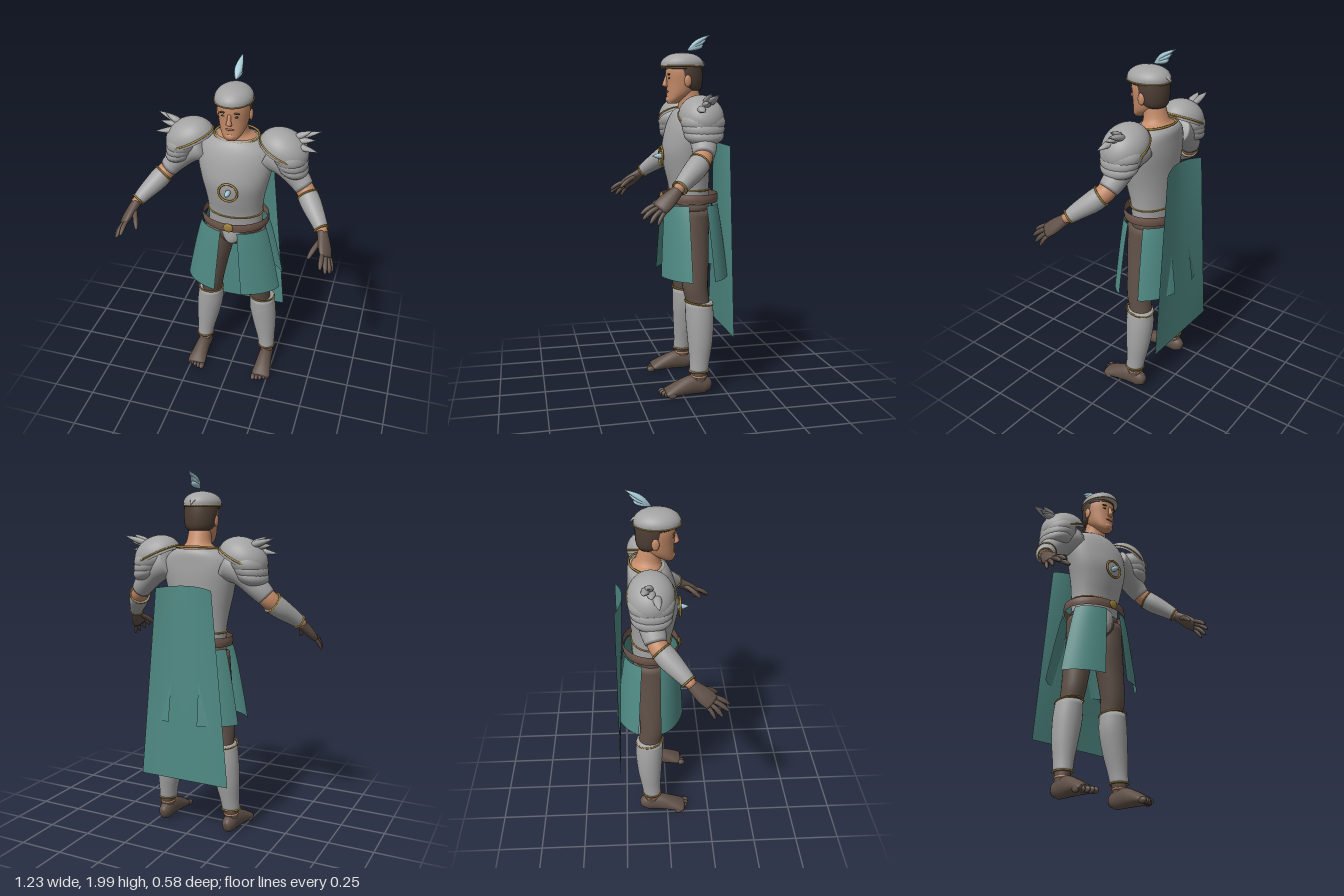
import * as THREE from 'three';
import { mergeVertices } from 'three/addons/utils/BufferGeometryUtils.js';

const V = (x, y, z) => new THREE.Vector3(x, y, z);
const lerp = THREE.MathUtils.lerp;

// Smooth grid surface: fn(u, r) with u across and r down
function sheet(nu, nr, fn) {
  const g = new THREE.PlaneGeometry(1, 1, nu, nr);
  const p = g.attributes.position;
  for (let j = 0, k = 0; j <= nr; j++)
    for (let i = 0; i <= nu; i++, k++) p.setXYZ(k, ...fn(i / nu, j / nr).toArray());
  g.deleteAttribute('uv');
  g.deleteAttribute('normal');
  const m = mergeVertices(g, 1e-5);
  m.computeVertexNormals();
  return m;
}

// Elliptical loft through rows [x, y, z, ru, rv]; level rings unless ref (direction of ru) is given
function loft(rows, { ref = null, seg = 28, sub = 4, caps = true } = {}) {
  const curve = f => new THREE.CatmullRomCurve3(rows.map(f), false, 'catmullrom');
  const path = curve(r => V(r[0], r[1], r[2]));
  const radii = curve(r => V(r[3], r[4], 0));
  const n = (rows.length - 1) * sub, extra = caps ? 1 : 0, total = n + 2 * extra;
  const up = Math.sign(rows.at(-1)[1] - rows[0][1]);
  return sheet(seg, total, (u, r) => {
    const k = Math.round(r * total) - extra;
    const t = Math.min(1, Math.max(0, k / n));
    const s = k < 0 || k > n ? 0 : 1;
    const c = path.getPoint(t), q = radii.getPoint(t);
    const d = ref ? path.getTangent(t) : V(0, up, 0);
    const a = ref ? ref.clone().addScaledVector(d, -ref.dot(d)).normalize() : V(1, 0, 0);
    const b = d.clone().cross(a), th = -u * Math.PI * 2;
    return c.addScaledVector(a, s * Math.max(q.x, 0) * Math.cos(th))
      .addScaledVector(b, s * Math.max(q.y, 0) * Math.sin(th));
  });
}

// Thin closed ring around an ellipse spanned by vectors a and b
function trim(c, a, b, r = 0.005) {
  const pts = Array.from({ length: 24 }, (_, i) => {
    const t = i / 24 * Math.PI * 2;
    return c.clone().addScaledVector(a, Math.cos(t)).addScaledVector(b, Math.sin(t));
  });
  return new THREE.TubeGeometry(new THREE.CatmullRomCurve3(pts, true), 48, r, 6, true);
}
const levelTrim = (x, y, z, rx, rz, r) => trim(V(x, y, z), V(rx, 0, 0), V(0, 0, rz), r);

function blob(x, y, z, rx, ry, rz, rot = 0) {
  return new THREE.SphereGeometry(1, 24, 16).scale(rx, ry, rz).rotateZ(rot).translate(x, y, z);
}

function mirror(geo) {
  const g = geo.clone().scale(-1, 1, 1), ix = g.index.array;
  for (let i = 0; i < ix.length; i += 3) [ix[i], ix[i + 1]] = [ix[i + 1], ix[i]];
  g.computeVertexNormals();
  return g;
}

export function createModel() {
  const model = new THREE.Group();
  model.name = 'armouredGuard';
  const mat = (name, color) => Object.assign(new THREE.MeshStandardMaterial({ color }), { name });
  const steel = mat('steel', 0xa3a3a3), cloth = mat('teal cloth', 0x4f8983), leather = mat('dark leather', 0x5f5047);
  const belt = mat('belt leather', 0x6d564b), gold = mat('gold', 0x9b7c38), skin = mat('skin', 0xc48b68);
  const hair = mat('hair', 0x4c3d33), crystal = mat('pale blue', 0xa6cbd8), lips = mat('lips', 0x9c6250);
  cloth.side = belt.side = THREE.DoubleSide;
  const add = (name, geo, m) => {
    const mesh = new THREE.Mesh(geo, m);
    mesh.name = name;
    model.add(mesh);
  };
  const pair = (name, geo, m) => {
    add(name + 'Left', geo, m);
    add(name + 'Right', mirror(geo), m);
  };
  const X = V(1, 0, 0), Z = V(0, 0, 1);

  // Head and neck
  add('head', loft([[0, 1.615, 0.015, 0.03, 0.025], [0, 1.635, 0, 0.05, 0.045], [0, 1.67, -0.03, 0.07, 0.074],
    [0, 1.72, -0.045, 0.081, 0.09], [0, 1.78, -0.045, 0.086, 0.095], [0, 1.83, -0.045, 0.08, 0.09]]), skin);
  add('neck', loft([[0, 1.55, -0.1, 0.15, 0.085], [0, 1.59, -0.1, 0.11, 0.08], [0, 1.62, -0.09, 0.07, 0.068],
    [0, 1.7, -0.07, 0.06, 0.06]]), skin);
  add('hair', loft([[0, 1.685, -0.09, 0.06, 0.05], [0, 1.71, -0.075, 0.082, 0.078], [0, 1.77, -0.067, 0.091, 0.09],
    [0, 1.84, -0.06, 0.088, 0.09]]), hair);
  add('fringe', loft([[0, 1.8, -0.045, 0.089, 0.096], [0, 1.84, -0.045, 0.086, 0.096]]), hair);
  add('nose', loft([[0, 1.765, 0.044, 0.009, 0.01], [0, 1.735, 0.053, 0.011, 0.012], [0, 1.715, 0.055, 0.016, 0.015],
    [0, 1.704, 0.046, 0.012, 0.01]], { seg: 12 }), skin);
  add('mouth', blob(0, 1.68, 0.041, 0.024, 0.006, 0.008), lips);
  add('chin', blob(0, 1.638, 0.03, 0.028, 0.022, 0.02), skin);
  pair('ear', blob(0.088, 1.735, -0.055, 0.01, 0.032, 0.02), skin);
  pair('eye', blob(0.032, 1.752, 0.038, 0.014, 0.005, 0.005), hair);
  pair('brow', blob(0.034, 1.772, 0.04, 0.021, 0.005, 0.007, -0.1), hair);

  // Helmet with plume
  add('helmet', loft([[0, 1.812, -0.042, 0.1, 0.122], [0, 1.84, -0.043, 0.098, 0.119], [0, 1.866, -0.044, 0.08, 0.098],
    [0, 1.884, -0.045, 0.048, 0.062], [0, 1.892, -0.045, 0.008, 0.01]]), steel);
  add('helmetTrim', levelTrim(0, 1.815, -0.042, 0.1, 0.122, 0.004), gold);
  add('helmetTip', loft([[0, 1.845, -0.13, 0.03, 0.01], [0, 1.842, -0.16, 0.015, 0.006], [0, 1.822, -0.178, 0.003, 0.003]],
    { ref: X, seg: 10 }), steel);
  for (let i = 0; i < 3; i++) {
    const y = 1.99 - 0.025 * i, z = -0.2 + 0.02 * i;
    add('plumeFeather', loft([[0, 1.905, -0.075, 0.004, 0.004], [0, lerp(1.905, y, 0.35), -0.11, 0.02, 0.014],
      [0, lerp(1.905, y, 0.65), -0.145, 0.018, 0.013], [0, y, z, 0.003, 0.002]], { ref: X, seg: 10 }), crystal);
  }

  // Breastplate, collar and chest emblem
  add('breastplate', loft([[0, 1.035, -0.085, 0.155, 0.105], [0, 1.15, -0.08, 0.156, 0.112], [0, 1.25, -0.07, 0.168, 0.125],
    [0, 1.35, -0.065, 0.19, 0.135], [0, 1.45, -0.075, 0.208, 0.13], [0, 1.52, -0.085, 0.2, 0.119],
    [0, 1.565, -0.095, 0.165, 0.107], [0, 1.59, -0.1, 0.12, 0.09]], { seg: 40 }), steel);
  add('collarTrim', trim(V(0, 1.592, -0.1), V(0.122, 0, 0), V(0, -0.012, 0.092), 0.006), gold);
  add('waistTrim', levelTrim(0, 1.14, -0.081, 0.158, 0.114), gold);
  add('emblemRing', new THREE.TorusGeometry(0.052, 0.006, 8, 40).translate(0, 1.325, 0.078), gold);
  add('emblemGem', loft([[0, 1.325, 0.07, 0.014, 0.014], [0, 1.325, 0.095, 0.015, 0.015], [0, 1.325, 0.125, 0.002, 0.002]],
    { ref: X, seg: 8, sub: 2 }), crystal);

  // Belt, buckle and hips
  add('belt', loft([[0, 1.07, -0.085, 0.19, 0.157], [0, 1.095, -0.085, 0.193, 0.16], [0, 1.12, -0.085, 0.188, 0.157]],
    { caps: false, seg: 40 }), belt);
  add('buckle', blob(0, 1.097, 0.075, 0.028, 0.028, 0.01), gold);
  add('hips', loft([[0, 0.93, -0.085, 0.07, 0.07], [0, 0.98, -0.085, 0.15, 0.1], [0, 1.06, -0.085, 0.16, 0.108]]), leather);
  add('codpiece', loft([[0, 0.945, -0.02, 0.02, 0.03], [0, 0.975, -0.01, 0.045, 0.045], [0, 1.03, -0.02, 0.065, 0.055],
    [0, 1.08, -0.03, 0.08, 0.055]]), steel);

  // Skirt panels: angle 0 points to the side, 90 degrees to the front
  const panel = (from, toTop, toBottom) => sheet(16, 10, (u, r) => {
    const a = lerp(from, lerp(toTop, toBottom, r), u);
    const flare = Math.pow(r, 0.85);
    return V(lerp(0.197, 0.292, flare) * Math.cos(a), lerp(1.06, 0.655, r),
      lerp(-0.085, -0.098, r) + lerp(0.157, 0.2, flare) * Math.sin(a));
  });
  pair('frontSkirt', panel(0.29, 1.33, 1.29), cloth);
  pair('backSkirt', panel(-0.34, -1.2, -1.27), cloth);

  // Cape
  add('cape', sheet(16, 20, (u, r) => {
    const a = u * 2 - 1;
    return V(a * lerp(0.165, 0.265, r), lerp(1.4, 0.33, r) - 0.015 * a * a * (1 - r),
      lerp(-0.235, -0.278, r) - 0.04 * a * a * (1 - r));
  }), cloth);

  // Legs, greaves and feet
  pair('leg', loft([[0.09, 1.03, -0.085, 0.085, 0.1], [0.1, 0.9, -0.08, 0.085, 0.092], [0.125, 0.75, -0.083, 0.076, 0.082],
    [0.147, 0.6, -0.085, 0.067, 0.071], [0.155, 0.5, -0.1, 0.06, 0.065], [0.18, 0.3, -0.105, 0.055, 0.055],
    [0.205, 0.12, -0.095, 0.039, 0.043], [0.206, 0.06, -0.095, 0.038, 0.042]]), leather);
  pair('greave', loft([[0.163, 0.52, -0.102, 0.073, 0.077], [0.17, 0.42, -0.106, 0.08, 0.079], [0.185, 0.3, -0.105, 0.07, 0.07],
    [0.197, 0.2, -0.099, 0.055, 0.058], [0.204, 0.135, -0.093, 0.05, 0.053]]), steel);
  pair('greaveTopTrim', trim(V(0.163, 0.518, -0.102), V(0.074, 0, 0), V(0, 0.012, 0.078)), gold);
  pair('greaveBottomTrim', levelTrim(0.204, 0.136, -0.093, 0.051, 0.054), gold);
  pair('ankleBand', levelTrim(0.205, 0.107, -0.094, 0.037, 0.041, 0.006), skin);
  pair('foot', loft([[0.205, 0.04, -0.162, 0.02, 0.025], [0.205, 0.05, -0.13, 0.038, 0.048], [0.207, 0.057, -0.06, 0.042, 0.056],
    [0.21, 0.042, 0.02, 0.05, 0.042], [0.212, 0.028, 0.075, 0.057, 0.028], [0.212, 0.022, 0.1, 0.052, 0.02]], { ref: X }), leather);
  for (let i = 0; i < 5; i++)
    pair('toe', blob(0.17 + i * 0.022, 0.019, 0.108 - i * i * 0.0025, i ? 0.012 : 0.016, 0.018, 0.025), leather);

  // Arms with vambraces
  pair('upperArm', loft([[0.17, 1.51, -0.09, 0.09, 0.085], [0.26, 1.47, -0.088, 0.08, 0.075], [0.34, 1.395, -0.08, 0.067, 0.062],
    [0.385, 1.345, -0.065, 0.056, 0.054]], { ref: Z }), steel);
  pair('elbow', loft([[0.36, 1.37, -0.072, 0.05, 0.05], [0.4, 1.325, -0.052, 0.051, 0.05], [0.44, 1.285, -0.01, 0.045, 0.045]],
    { ref: Z }), skin);
  pair('vambrace', loft([[0.408, 1.315, -0.042, 0.056, 0.056], [0.44, 1.28, -0.005, 0.057, 0.055],
    [0.485, 1.235, 0.05, 0.047, 0.045], [0.517, 1.2, 0.09, 0.038, 0.036]], { ref: Z }), steel);
  const along = V(0.55, -0.56, 0.62).normalize(), across = V(0.7, 0, -0.62).normalize();
  const over = along.clone().cross(across);
  const cuff = (x, y, z, r) => trim(V(x, y, z), across.clone().multiplyScalar(r), over.clone().multiplyScalar(r));
  pair('vambraceTopTrim', cuff(0.41, 1.313, -0.04, 0.056), gold);
  pair('vambraceBottomTrim', cuff(0.516, 1.201, 0.089, 0.038), gold);
  pair('wrist', loft([[0.5, 1.22, 0.07, 0.03, 0.03], [0.53, 1.185, 0.108, 0.029, 0.027]], { ref: across }), skin);

  // Gloved hands: palm, four fingers and thumb
  pair('palm', loft([[0.522, 1.193, 0.098, 0.029, 0.027], [0.535, 1.17, 0.125, 0.036, 0.026], [0.553, 1.135, 0.168, 0.045, 0.024],
    [0.568, 1.105, 0.205, 0.042, 0.018]], { ref: V(0.6, -0.55, -0.55) }), leather);
  const digit = (a, b, r) => loft([0, 0.35, 0.7, 1].map((t, i) =>
    [...V(...a).lerp(V(...b), t).add(V(0, 0.008 * Math.sin(t * 3.1), 0)).toArray(), i < 3 ? r : r * 0.55, i < 3 ? r : r * 0.55]),
    { ref: X, seg: 10, sub: 3 });
  const digits = [[[0.545, 1.13, 0.2], [0.552, 1.082, 0.29], 0.0125], [[0.562, 1.115, 0.203], [0.58, 1.06, 0.285], 0.0125],
    [[0.575, 1.1, 0.195], [0.6, 1.042, 0.253], 0.012], [[0.585, 1.09, 0.18], [0.608, 1.034, 0.217], 0.0105],
    [[0.525, 1.165, 0.135], [0.478, 1.1, 0.237], 0.014]];
  for (const [a, b, r] of digits) pair('finger', digit(a, b, r), leather);

  // Pauldrons: dome, layered lower plates, gold edge and wing spikes
  const dome = new THREE.SphereGeometry(1, 32, 16, 0, Math.PI * 2, 0, Math.PI * 0.56);
  pair('pauldronDome', dome.scale(0.14, 0.108, 0.12).rotateZ(-0.45).translate(0.26, 1.543, -0.085), steel);
  pair('pauldronTrim', trim(V(0, 0, 0), V(0.141, 0, 0), V(0, 0, 0.121)).rotateZ(-0.45).translate(0.26, 1.541, -0.085), gold);
  for (let i = 0; i < 3; i++)
    pair('pauldronPlate', blob(0.295 + 0.01 * i, 1.52 - 0.033 * i, -0.085, 0.1 - 0.006 * i, 0.074 - 0.01 * i,
      0.119 - 0.006 * i, -0.35), steel);
  const spikes = [[0.45, 1.652, -0.125], [0.425, 1.615, -0.088], [0.445, 1.568, -0.05], [0.4, 1.66, -0.1]];
  for (const [x, y, z] of spikes) {
    const by = lerp(1.595, y, 0.25), at = t => [lerp(0.31, x, t), lerp(by, y, t), lerp(-0.087, z, 0.6 + 0.4 * t)];
    pair('wingSpike', loft([[...at(0), 0.016, 0.014], [...at(0.35), 0.023, 0.018], [...at(0.7), 0.016, 0.01], [...at(1), 0.001, 0.001]],
      { ref: Z, seg: 10 }), steel);
  }
  return model;
}
